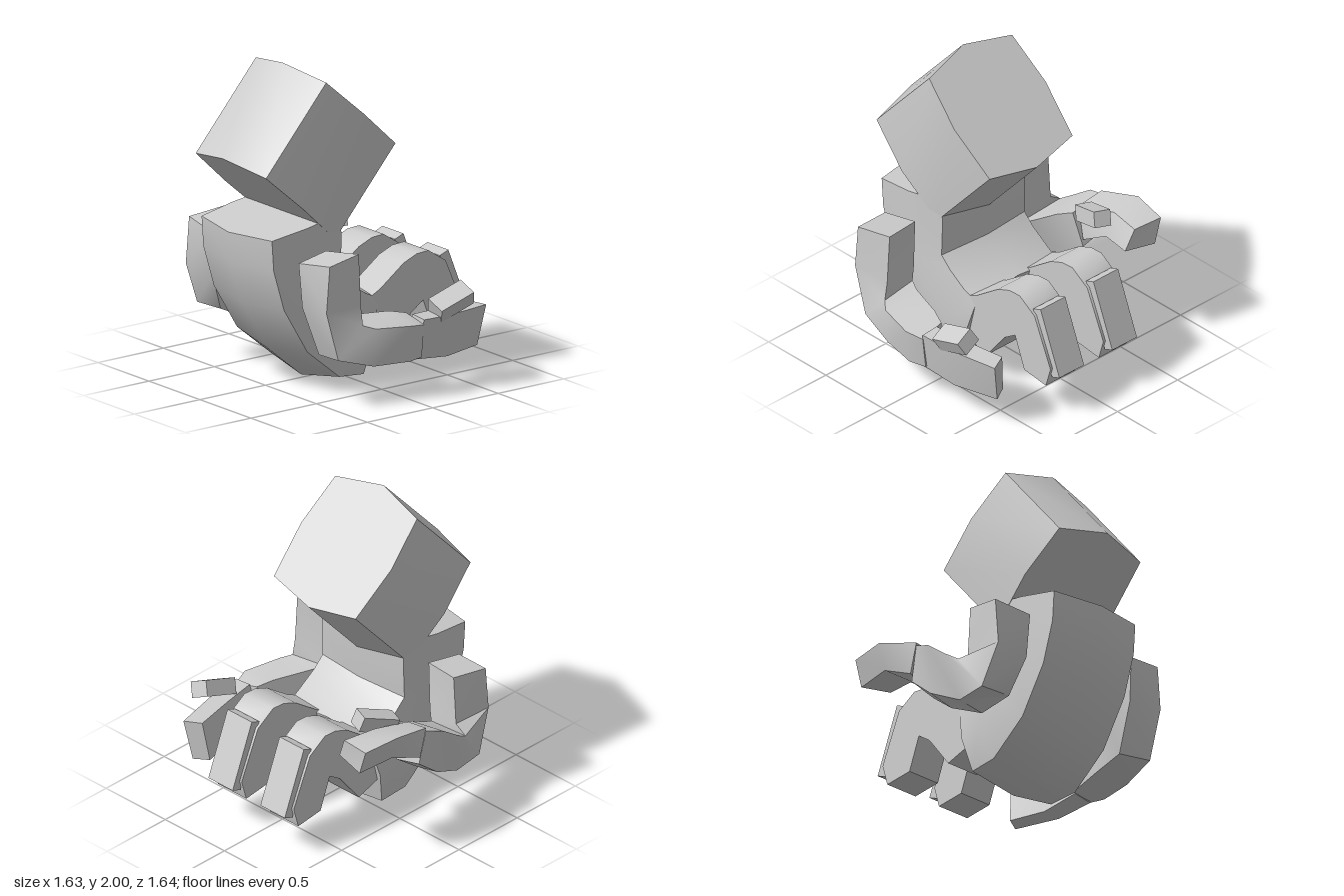
import * as THREE from 'three';
import { toCreasedNormals } from 'three/addons/utils/BufferGeometryUtils.js';

const material = new THREE.MeshStandardMaterial({ color: 0xcccccc });

function addMesh(parent, name, geometry) {
  const mesh = new THREE.Mesh(geometry, material);
  mesh.name = name;
  parent.add(mesh);
  return mesh;
}

// Skin a list of equal-sized convex rings, close both ends, face outwards
function loft(rings) {
  const n = rings[0].length;
  const tris = [];
  for (let s = 0; s < rings.length - 1; s++) {
    for (let i = 0; i < n; i++) {
      const j = (i + 1) % n;
      const a = rings[s][i], b = rings[s][j], c = rings[s + 1][j], d = rings[s + 1][i];
      tris.push([a, b, c], [a, c, d]);
    }
  }
  const first = rings[0], last = rings[rings.length - 1];
  for (let i = 1; i < n - 1; i++) {
    tris.push([first[0], first[i + 1], first[i]], [last[0], last[i], last[i + 1]]);
  }
  let volume = 0;
  for (const t of tris) {
    const [a, b, c] = t.map((p) => new THREE.Vector3(...p));
    volume += a.dot(b.cross(c));
  }
  if (volume < 0) tris.forEach((t) => t.reverse());
  const geometry = new THREE.BufferGeometry();
  geometry.setAttribute('position', new THREE.Float32BufferAttribute(tris.flat(2), 3));
  return toCreasedNormals(geometry, 0.7);
}

// Eight-sided ring between a front ridge and a back ridge, both given as [z, y]
function bodyRing([fz, fy], [bz, by], halfFront, halfMid) {
  const outline = [
    [0, 0], [halfFront, 0.1], [halfMid, 0.5], [halfFront, 0.92],
    [0, 1], [-halfFront, 0.92], [-halfMid, 0.5], [-halfFront, 0.1],
  ];
  return outline.map(([x, t]) => [x - 0.01, fy + (by - fy) * t, fz + (bz - fz) * t]);
}

const mirrorX = (rings) => rings.map((ring) => ring.map(([x, y, z]) => [-x, y, z]));

// Extrude a [z, y] outline sideways, centred on x
function sideExtrude(points, width, x) {
  const shape = new THREE.Shape(points.map(([z, y]) => new THREE.Vector2(-z, y)));
  const geometry = new THREE.ExtrudeGeometry(shape, { depth: width, bevelEnabled: false });
  geometry.translate(0, 0, -width / 2).rotateY(Math.PI / 2).translate(x, 0, 0);
  return toCreasedNormals(geometry, 0.8);
}

export function createModel() {
  const model = new THREE.Group();
  model.name = 'crouchingFigure';

  // Tilted head
  addMesh(model, 'head', loft([
    bodyRing([0.36, 2.0], [-0.285, 1.42], 0.345, 0.38),
    bodyRing([0.82, 1.48], [0.175, 0.9], 0.345, 0.38),
  ]));

  // Curved torso, front ridge to back ridge at each level
  const torso = [
    [[0.775, 1.01], [0.13, 1.11], 0.345, 0.365],
    [[0.76, 0.82], [0.13, 0.9], 0.345, 0.37],
    [[0.67, 0.55], [0.145, 0.73], 0.345, 0.375],
    [[0.48, 0.23], [0.08, 0.68], 0.345, 0.38],
    [[0.22, 0.016], [-0.03, 0.61], 0.345, 0.38],
    [[0.016, 0], [-0.12, 0.56], 0.335, 0.375],
  ];
  addMesh(model, 'torso', loft(torso.map((r) => bodyRing(...r))));

  // Arm rings: lower inner, lower outer, upper outer, upper inner
  const shoulder = [
    [[0.43, 0.88, 0.58], [0.69, 0.91, 0.545], [0.66, 0.94, 0.3], [0.4, 0.91, 0.35]],
    [[0.44, 0.6, 0.56], [0.69, 0.62, 0.57], [0.68, 0.62, 0.3], [0.42, 0.6, 0.34]],
  ];
  const leftArm = [
    ...shoulder,
    [[0.46, 0.29, 0.45], [0.69, 0.31, 0.48], [0.7, 0.5, 0.3], [0.45, 0.52, 0.32]],
    [[0.49, 0.25, 0.22], [0.73, 0.24, 0.24], [0.75, 0.48, 0.24], [0.49, 0.51, 0.24]],
    [[0.57, 0.25, -0.02], [0.78, 0.24, 0], [0.81, 0.47, 0], [0.57, 0.51, 0]],
    [[0.61, 0.26, -0.11], [0.75, 0.24, -0.11], [0.775, 0.45, -0.11], [0.61, 0.49, -0.1]],
  ];
  const leftHand = [
    [[0.61, 0.25, -0.08], [0.74, 0.23, -0.08], [0.775, 0.48, -0.11], [0.66, 0.49, -0.11]],
    [[0.6, 0.21, -0.33], [0.72, 0.2, -0.33], [0.76, 0.47, -0.33], [0.63, 0.48, -0.33]],
    [[0.545, 0.21, -0.57], [0.64, 0.2, -0.62], [0.69, 0.46, -0.65], [0.58, 0.47, -0.6]],
  ];
  const rightArm = [
    ...shoulder,
    [[0.49, 0.36, 0.46], [0.72, 0.35, 0.46], [0.76, 0.57, 0.3], [0.45, 0.53, 0.32]],
    [[0.55, 0.28, 0.29], [0.72, 0.32, 0.27], [0.79, 0.62, 0.22], [0.47, 0.57, 0.24]],
    [[0.58, 0.38, 0.06], [0.76, 0.42, 0.06], [0.8, 0.72, 0.08], [0.52, 0.67, 0.08]],
    [[0.57, 0.5, -0.1], [0.76, 0.55, -0.1], [0.77, 0.77, -0.05], [0.54, 0.73, -0.04]],
  ];
  const rightHand = [
    [[0.57, 0.55, -0.1], [0.77, 0.6, -0.1], [0.77, 0.79, -0.05], [0.6, 0.75, -0.03]],
    [[0.56, 0.68, -0.31], [0.76, 0.7, -0.33], [0.81, 0.865, -0.33], [0.61, 0.84, -0.33]],
    [[0.51, 0.7, -0.53], [0.72, 0.68, -0.57], [0.77, 0.845, -0.57], [0.57, 0.84, -0.55]],
  ];
  addMesh(model, 'leftArm', loft(leftArm));
  addMesh(model, 'leftHand', loft(leftHand));
  addMesh(model, 'rightArm', loft(mirrorX(rightArm)));
  addMesh(model, 'rightHand', loft(mirrorX(rightHand)));

  // Thumbs
  const leftThumb = addMesh(model, 'leftThumb', new THREE.BoxGeometry(0.13, 0.1, 0.25));
  leftThumb.position.set(0.73, 0.545, -0.35);
  leftThumb.rotation.set(0.33, -0.05, -0.45);
  const rightThumb = addMesh(model, 'rightThumb', new THREE.BoxGeometry(0.11, 0.1, 0.26));
  rightThumb.position.set(-0.525, 0.815, -0.235);
  rightThumb.rotation.set(0.35, -0.28, 0.1, 'YXZ');

  // Bent legs with a flat foot plate on each shin
  const legOutline = [
    [0.02, 0.5], [-0.12, 0.57], [-0.3, 0.7], [-0.4, 0.74], [-0.49, 0.745],
    [-0.62, 0.66], [-0.76, 0.34], [-0.72, 0.205], [-0.53, 0.23],
    [-0.45, 0.44], [-0.36, 0.38], [-0.2, 0.175], [0.02, 0.25],
  ];
  const footOutline = [[-0.59, 0.69], [-0.655, 0.715], [-0.82, 0.3], [-0.755, 0.275]];
  for (const [side, x] of [['left', 0.21], ['right', -0.23]]) {
    addMesh(model, side + 'Leg', sideExtrude(legOutline, 0.24, x));
    addMesh(model, side + 'Foot', sideExtrude(footOutline, 0.205, x));
  }

  return model;
}
